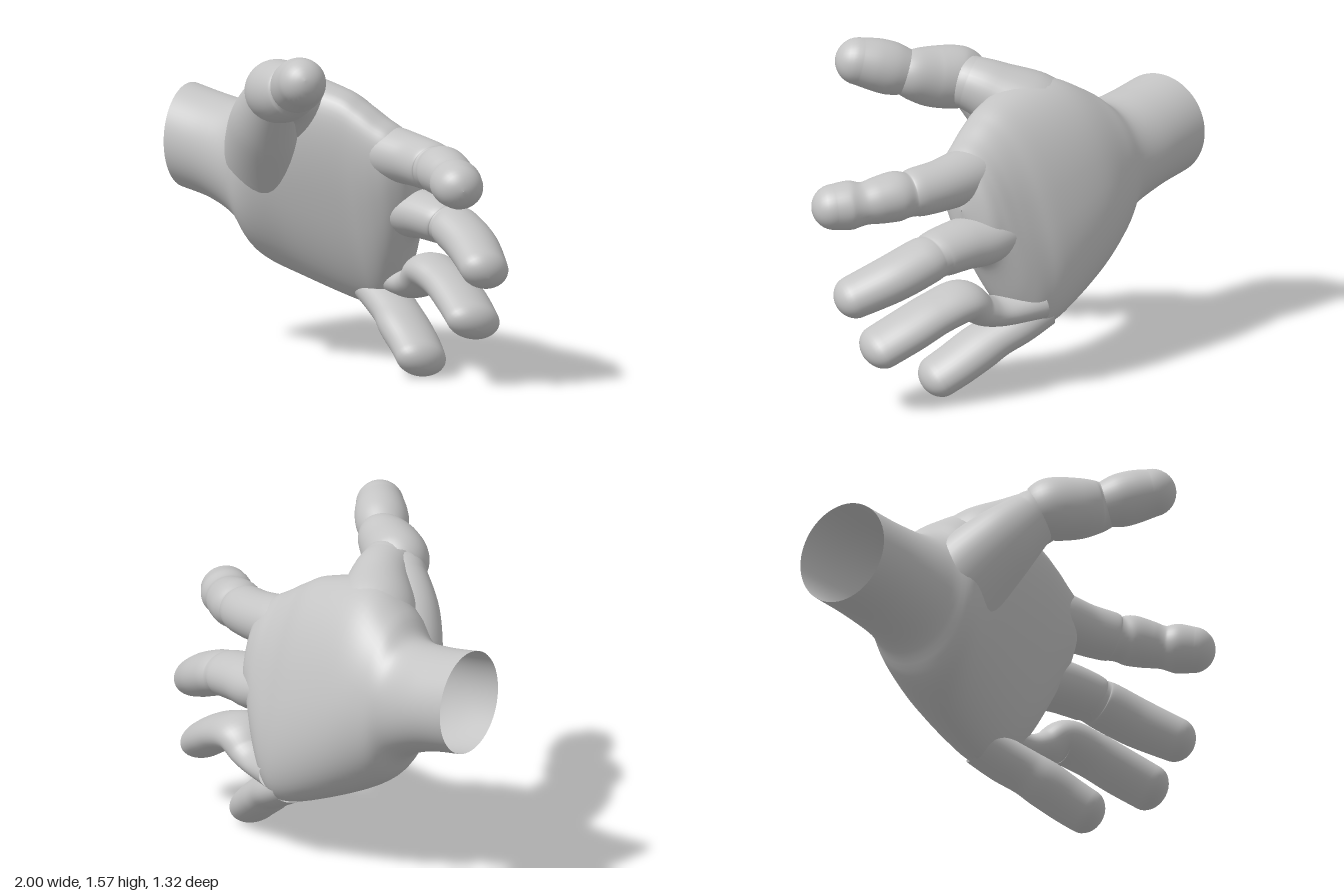
import * as THREE from 'three';

const SIDES = 36;

// Smooth (Catmull-Rom) interpolation through rows of numbers, t in row units
function sample(rows, t) {
  const last = rows.length - 1;
  const i = Math.min(Math.floor(t), last - 1);
  const f = t - i;
  const row = (k) => rows[Math.max(0, Math.min(last, k))];
  return rows[0].map((_, c) => {
    const [a, b, d, e] = [row(i - 1)[c], row(i)[c], row(i + 1)[c], row(i + 2)[c]];
    return b + 0.5 * f * (d - a + f * (2 * a - 5 * b + 4 * d - e + f * (3 * (b - d) + e - a)));
  });
}

// Skin through equal-length closed rings
function loft(rings) {
  const positions = [], index = [], n = rings[0].length;
  rings.forEach((ring) => ring.forEach((p) => positions.push(p.x, p.y, p.z)));
  for (let i = 0; i < rings.length - 1; i++) {
    for (let j = 0; j < n; j++) {
      const k = (j + 1) % n;
      const a = i * n + j, b = i * n + k, c = a + n, d = b + n;
      index.push(a, b, c, b, d, c);
    }
  }
  const g = new THREE.BufferGeometry();
  g.setAttribute('position', new THREE.Float32BufferAttribute(positions, 3));
  g.setIndex(index);
  g.computeVertexNormals();
  return g;
}

// Tapered limb through rows of [x, y, z, radius], with a rounded tip;
// depth widens the oval section from palm side to back
function limb({ depth, rows }) {
  const steps = (rows.length - 1) * 8;
  const stations = [];
  for (let s = 0; s <= steps; s++) {
    const [x, y, z, r] = sample(rows, s / 8);
    stations.push({ p: new THREE.Vector3(x, y, z), r });
  }
  stations.forEach((s, i) => {
    const a = stations[Math.max(0, i - 1)].p, b = stations[Math.min(steps, i + 1)].p;
    s.dir = b.clone().sub(a).normalize();
  });
  const end = stations[steps];
  for (let k = 1; k <= 8; k++) {
    const a = (k / 8) * Math.PI / 2;
    stations.push({
      p: end.p.clone().addScaledVector(end.dir, end.r * Math.sin(a)),
      r: Math.max(end.r * Math.cos(a), 0.0005), dir: end.dir,
    });
  }
  const u = new THREE.Vector3(0.3, 0.9, 0);
  return loft(stations.map(({ p, r, dir }) => {
    u.addScaledVector(dir, -u.dot(dir)).normalize();
    const v = dir.clone().cross(u);
    return Array.from({ length: SIDES }, (_, j) => {
      const a = (j / SIDES) * Math.PI * 2;
      return p.clone().addScaledVector(u, r * Math.cos(a))
        .addScaledVector(v, r * depth * Math.sin(a));
    });
  }));
}

// Wrist and palm: [x, topY, topZ, bottomY, bottomZ, backDepth, frontDepth, roundness]
const PALM = [
  [-1.0, 1.245, -0.415, 0.75, -0.415, 0.245, 0.245, 1],
  [-0.8, 1.21, -0.37, 0.71, -0.37, 0.25, 0.25, 1],
  [-0.62, 1.2, -0.31, 0.63, -0.325, 0.255, 0.265, 0.98],
  [-0.5, 1.29, -0.2, 0.49, -0.335, 0.305, 0.275, 0.94],
  [-0.3, 1.375, -0.085, 0.39, -0.37, 0.325, 0.205, 0.9],
  [0.0, 1.325, -0.06, 0.29, -0.385, 0.26, 0.17, 0.88],
  [0.13, 1.265, -0.055, 0.3, -0.365, 0.225, 0.16, 0.86],
  [0.22, 1.21, -0.055, 0.43, -0.325, 0.2, 0.15, 0.86],
  [0.3, 1.165, -0.06, 0.61, -0.27, 0.17, 0.13, 0.9],
  [0.36, 1.11, -0.09, 0.7, -0.24, 0.115, 0.09, 1],
  [0.39, 0.92, -0.16, 0.91, -0.16, 0.002, 0.002, 1],
];

function palm() {
  const rings = [];
  const pow = (v, e) => Math.sign(v) * Math.abs(v) ** e;
  const steps = (PALM.length - 1) * 6;
  for (let s = 0; s <= steps; s++) {
    const [x, ty, tz, by, bz, back, front, round] = sample(PALM, s / 6);
    const hy = (ty - by) / 2, hz = (tz - bz) / 2, len = Math.hypot(hy, hz) || 1;
    rings.push(Array.from({ length: 64 }, (_, j) => {
      const a = (j / 64) * Math.PI * 2;
      const c = pow(Math.cos(a), round);
      const d = pow(Math.sin(a), round) * (Math.sin(a) > 0 ? front : back);
      return new THREE.Vector3(
        x, (ty + by) / 2 + hy * c - (hz / len) * d, (tz + bz) / 2 + hz * c + (hy / len) * d);
    }));
  }
  return loft(rings);
}

// Digits and flesh pads as [x, y, z, radius]; small dips mark the joints
const LIMBS = {
  thumbMound: { depth: 1.1, rows: [
    [-0.44, 0.82, -0.28, 0.2], [-0.42, 0.98, -0.15, 0.2],
    [-0.34, 1.16, 0.02, 0.165], [-0.24, 1.31, 0.14, 0.12],
  ] },
  thumbBase: { depth: 1, rows: [
    [-0.35, 1.12, -0.25, 0.2], [-0.27, 1.22, -0.11, 0.2],
    [-0.2, 1.31, 0.03, 0.15], [-0.17, 1.345, 0.13, 0.13],
  ] },
  thumbMiddle: { depth: 1, rows: [
    [-0.23, 1.34, 0.13, 0.115], [-0.19, 1.355, 0.195, 0.148],
    [-0.095, 1.37, 0.28, 0.146], [-0.01, 1.395, 0.34, 0.125], [0.03, 1.41, 0.39, 0.1],
  ] },
  thumbTip: { depth: 1, rows: [
    [0.0, 1.4, 0.36, 0.105], [0.05, 1.425, 0.42, 0.125],
    [0.1, 1.45, 0.48, 0.125], [0.15, 1.47, 0.545, 0.113],
  ] },
  indexFinger: { depth: 1.08, rows: [
    [0.12, 1.06, -0.16, 0.12], [0.25, 1.05, -0.12, 0.13], [0.42, 1.035, -0.065, 0.12],
    [0.54, 1.025, -0.005, 0.115], [0.58, 1.02, 0.02, 0.105], [0.63, 1.02, 0.055, 0.117],
    [0.7, 1.01, 0.11, 0.11], [0.75, 1.0, 0.16, 0.1], [0.79, 0.995, 0.21, 0.114],
    [0.84, 0.99, 0.268, 0.107],
  ] },
  middleFinger: { depth: 1.25, rows: [
    [0.12, 0.8, -0.29, 0.11], [0.3, 0.765, -0.22, 0.12], [0.42, 0.76, -0.175, 0.115],
    [0.54, 0.745, -0.13, 0.108], [0.58, 0.735, -0.115, 0.1], [0.63, 0.72, -0.09, 0.106],
    [0.76, 0.66, -0.005, 0.105], [0.895, 0.585, 0.125, 0.095],
  ] },
  ringFinger: { depth: 1.5, rows: [
    [0.08, 0.43, -0.37, 0.09], [0.24, 0.405, -0.29, 0.068], [0.34, 0.43, -0.24, 0.075],
    [0.43, 0.49, -0.195, 0.09], [0.56, 0.455, -0.125, 0.09], [0.68, 0.39, -0.045, 0.092],
    [0.79, 0.32, 0.045, 0.09],
  ] },
  littleFinger: { depth: 1.4, rows: [
    [0.02, 0.37, -0.37, 0.085], [0.13, 0.315, -0.31, 0.09], [0.22, 0.265, -0.245, 0.09],
    [0.29, 0.215, -0.19, 0.095], [0.38, 0.15, -0.125, 0.093], [0.445, 0.1, -0.068, 0.09],
  ] },
};

export function createModel() {
  const skin = new THREE.MeshStandardMaterial({ color: 0xc4c4c4, side: THREE.DoubleSide });
  skin.name = 'greySkin';
  const hand = new THREE.Group();
  hand.name = 'hand';
  const add = (name, geometry) => {
    const mesh = new THREE.Mesh(geometry, skin);
    mesh.name = name;
    hand.add(mesh);
  };
  add('wristAndPalm', palm());
  for (const [name, spec] of Object.entries(LIMBS)) add(name, limb(spec));
  return hand;
}
